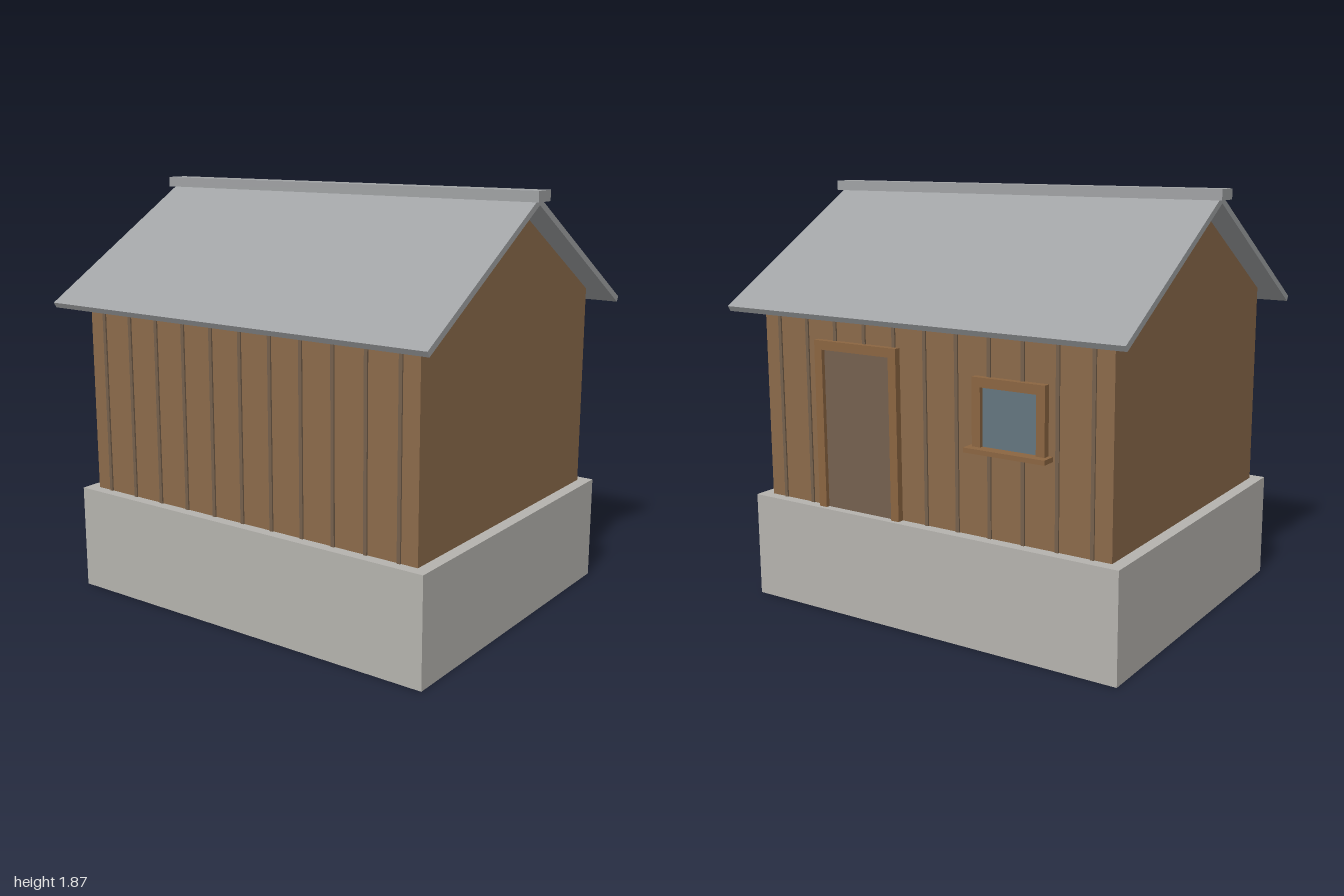
import * as THREE from 'three';

const COLORS = {
  stone: 0xb5b3ae, wood: 0x8b6a4a, batten: 0x75604c, trim: 0x8b6541,
  roof: 0xa0a2a4, door: 0x75604f, glass: 0x64767f,
};

export function createModel() {
  const model = new THREE.Group();
  const materials = {};
  for (const key in COLORS) {
    materials[key] = new THREE.MeshStandardMaterial({ color: COLORS[key], flatShading: true });
  }

  const add = (name, geometry, material, parent = model) => {
    const mesh = new THREE.Mesh(geometry, materials[material]);
    mesh.name = name;
    parent.add(mesh);
    return mesh;
  };

  // Box given by its lower and upper limit on each axis
  const box = (name, material, [x0, x1], [y0, y1], [z0, z1], parent) => {
    const mesh = add(name, new THREE.BoxGeometry(x1 - x0, y1 - y0, z1 - z0), material, parent);
    mesh.position.set((x0 + x1) / 2, (y0 + y1) / 2, (z0 + z1) / 2);
  };

  // Gable-end outline (depth, height) extruded along x
  const prism = (name, material, points, length) => {
    const shape = new THREE.Shape(points.map(([a, b]) => new THREE.Vector2(a, b)));
    const geometry = new THREE.ExtrudeGeometry(shape, { depth: length, bevelEnabled: false });
    geometry.translate(0, 0, -length / 2).rotateY(Math.PI / 2);
    add(name, geometry, material);
  };

  const floor = 0.475, wallZ = 0.705, eave = 1.39;

  // Stone base and gabled body
  box('foundation', 'stone', [-0.93, 0.93], [0, floor], [-0.755, 0.755]);
  prism('walls', 'wood', [
    [-wallZ, floor], [wallZ, floor], [wallZ, eave], [0, 1.81], [-wallZ, eave],
  ], 1.75);

  // Roof slabs with square-cut eaves, and the ridge cap
  prism('roof', 'roof', [
    [0, 1.811], [0.817, 1.324], [0.831, 1.347], [0, 1.842], [-0.831, 1.347], [-0.817, 1.324],
  ], 1.96);
  box('ridgeCap', 'roof', [-1, 1], [1.825, 1.87], [-0.052, 0.052]);

  // Thin vertical battens on both long walls
  const battens = new THREE.Group();
  battens.name = 'battens';
  model.add(battens);
  for (const side of [-1, 1]) {
    for (let i = -5; i <= 5; i++) {
      const x = i * 0.158, z = side * wallZ;
      box('batten', 'batten', [x - 0.008, x + 0.008], [floor, eave - 0.003],
        [z - 0.007, z + 0.007], battens);
    }
  }

  // Two posts and a head piece around an opening in the back wall
  const frame = (name, [x0, x1], [y0, y1], parent) => {
    const w = 0.04, z = [-0.735, -0.7];
    box(name + 'Post', 'trim', [x0, x0 + w], [y0, y1 - w], z, parent);
    box(name + 'Post', 'trim', [x1 - w, x1], [y0, y1 - w], z, parent);
    box(name + 'Head', 'trim', [x0, x1], [y1 - w, y1], z, parent);
  };

  // Back door
  const door = new THREE.Group();
  door.name = 'door';
  model.add(door);
  frame('doorFrame', [0.13, 0.57], [floor, 1.22], door);
  box('doorPanel', 'door', [0.17, 0.53], [floor, 1.18], [-0.717, -0.7], door);

  // Back window with projecting sill
  const win = new THREE.Group();
  win.name = 'window';
  model.add(win);
  frame('windowFrame', [-0.59, -0.25], [0.86, 1.145], win);
  box('windowPane', 'glass', [-0.55, -0.29], [0.86, 1.105], [-0.717, -0.7], win);
  box('windowSill', 'trim', [-0.61, -0.23], [0.84, 0.86], [-0.77, -0.7], win);

  return model;
}
